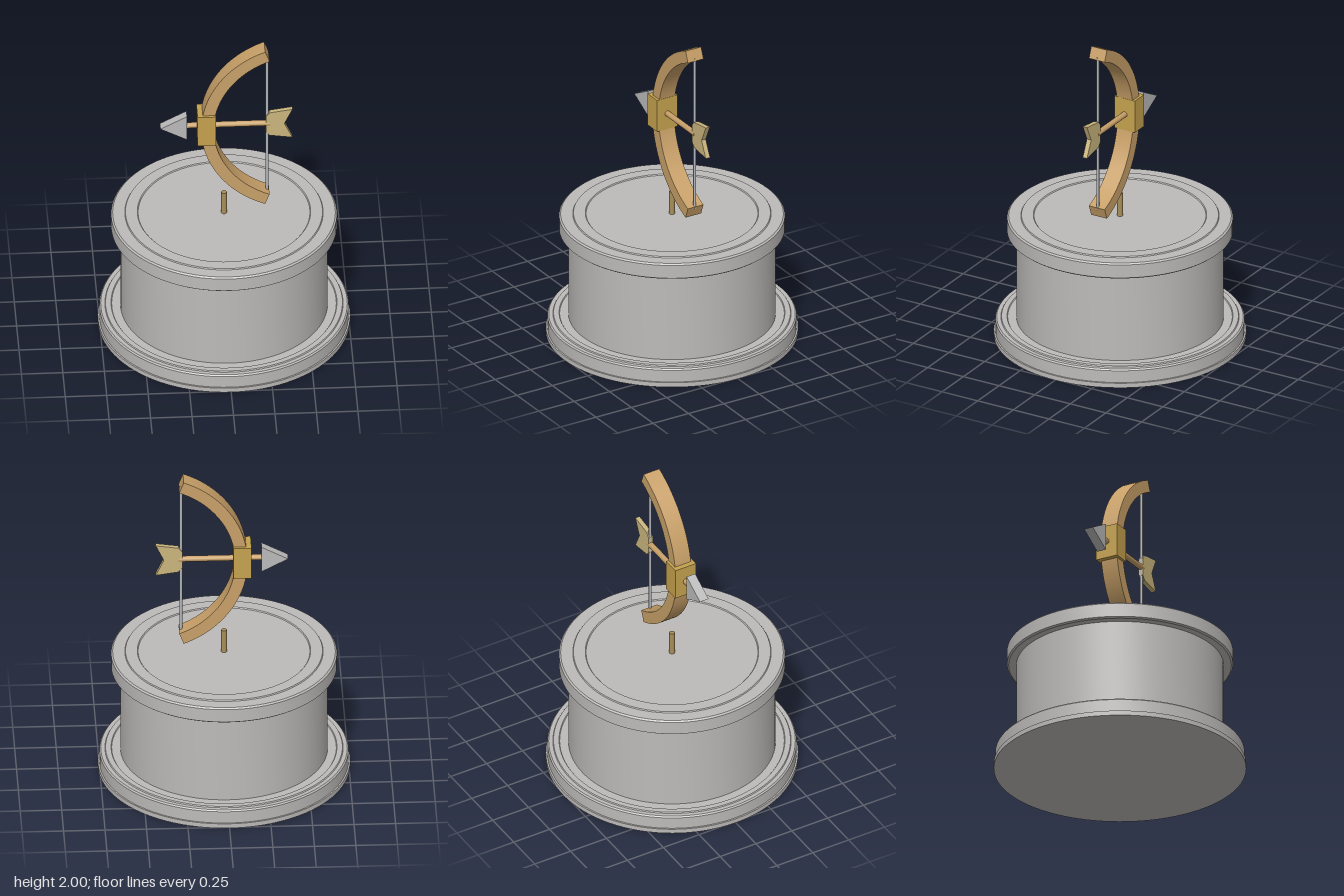
import * as THREE from 'three';
import { toCreasedNormals } from 'three/addons/utils/BufferGeometryUtils.js';

const mat = (name, color) => {
  const m = new THREE.MeshStandardMaterial({ color });
  m.name = name;
  return m;
};

export function createModel() {
  const model = new THREE.Group();
  const stone = mat('stone grey', 0xbdbbb9);
  const wood = mat('bow wood', 0xc8a068);
  const gold = mat('grip gold', 0xc5a24e);
  const feather = mat('feather tan', 0xcbb67e);
  const steel = mat('steel', 0xbababa);
  const cord = mat('cord grey', 0xb2b5ba);
  const brass = mat('rod brass', 0xa98f5c);
  const midY = 1.44;

  const add = (parent, name, geometry, material, x = 0, y = 0, z = 0) => {
    const mesh = new THREE.Mesh(geometry, material);
    mesh.name = name;
    mesh.position.set(x, y, z);
    parent.add(mesh);
    return mesh;
  };
  const lathe = (points) => toCreasedNormals(
    new THREE.LatheGeometry(points.map(([r, y]) => new THREE.Vector2(r, y)), 96), 0.5);
  const slab = (shape, depth, curveSegments = 12) => {
    const g = new THREE.ExtrudeGeometry(shape, { depth, bevelEnabled: false, curveSegments });
    g.translate(0, 0, -depth / 2);
    return toCreasedNormals(g, 0.5);
  };
  const polygon = (points) => new THREE.Shape(points.map(([x, y]) => new THREE.Vector2(x, y)));

  // Round pedestal: stepped foot, drum and overhanging cap
  const pedestal = new THREE.Group();
  pedestal.name = 'pedestal';
  model.add(pedestal);
  add(pedestal, 'foot', lathe([
    [0, 0], [0.76, 0], [0.76, 0.03], [0.75, 0.03], [0.75, 0.108], [0.742, 0.117],
    [0.717, 0.117], [0.713, 0.124], [0.68, 0.124], [0.676, 0.118], [0.6, 0.118],
  ]), stone);
  add(pedestal, 'drum', lathe([[0.624, 0.11], [0.624, 0.7]]), stone);
  add(pedestal, 'cap', lathe([
    [0.6, 0.685], [0.67, 0.685], [0.68, 0.693], [0.68, 0.779], [0.67, 0.788],
    [0.597, 0.788], [0.593, 0.795], [0.522, 0.795], [0.517, 0.789], [0, 0.789],
  ]), stone);

  // Short support rod in the middle of the cap
  add(model, 'supportRod', new THREE.CylinderGeometry(0.017, 0.017, 0.16, 12), brass, 0, 0.86, 0);

  // Bow: a curved band of rectangular section
  const bow = new THREE.Group();
  bow.name = 'bow';
  model.add(bow);
  const a0 = THREE.MathUtils.degToRad(111);
  const a1 = Math.PI * 2 - a0;
  const arc = new THREE.Shape();
  arc.absarc(0.46, midY, 0.6, a0, a1, false);
  arc.absarc(0.46, midY, 0.525, a1, a0, true);
  add(bow, 'bowLimbs', slab(arc, 0.11, 40), wood);
  add(bow, 'grip', new THREE.BoxGeometry(0.11, 0.21, 0.144), gold, -0.108, midY, 0);
  add(bow, 'bowString', new THREE.CylinderGeometry(0.009, 0.009, 1.01, 10), cord, 0.26, midY, 0);

  // Arrow pointing to the side
  const arrow = new THREE.Group();
  arrow.name = 'arrow';
  arrow.position.y = midY;
  model.add(arrow);
  const shaft = new THREE.CylinderGeometry(0.018, 0.018, 0.5, 12);
  shaft.rotateZ(Math.PI / 2);
  add(arrow, 'shaft', shaft, wood, 0.025, 0, 0);
  add(arrow, 'arrowHead', slab(polygon([[-0.385, 0], [-0.225, -0.085], [-0.225, 0.085]]), 0.06), steel);
  add(arrow, 'fletching', slab(polygon([
    [0.252, -0.055], [0.275, -0.083], [0.412, -0.103], [0.363, 0],
    [0.412, 0.103], [0.275, 0.083], [0.252, 0.055],
  ]), 0.03), feather);

  return model;
}
